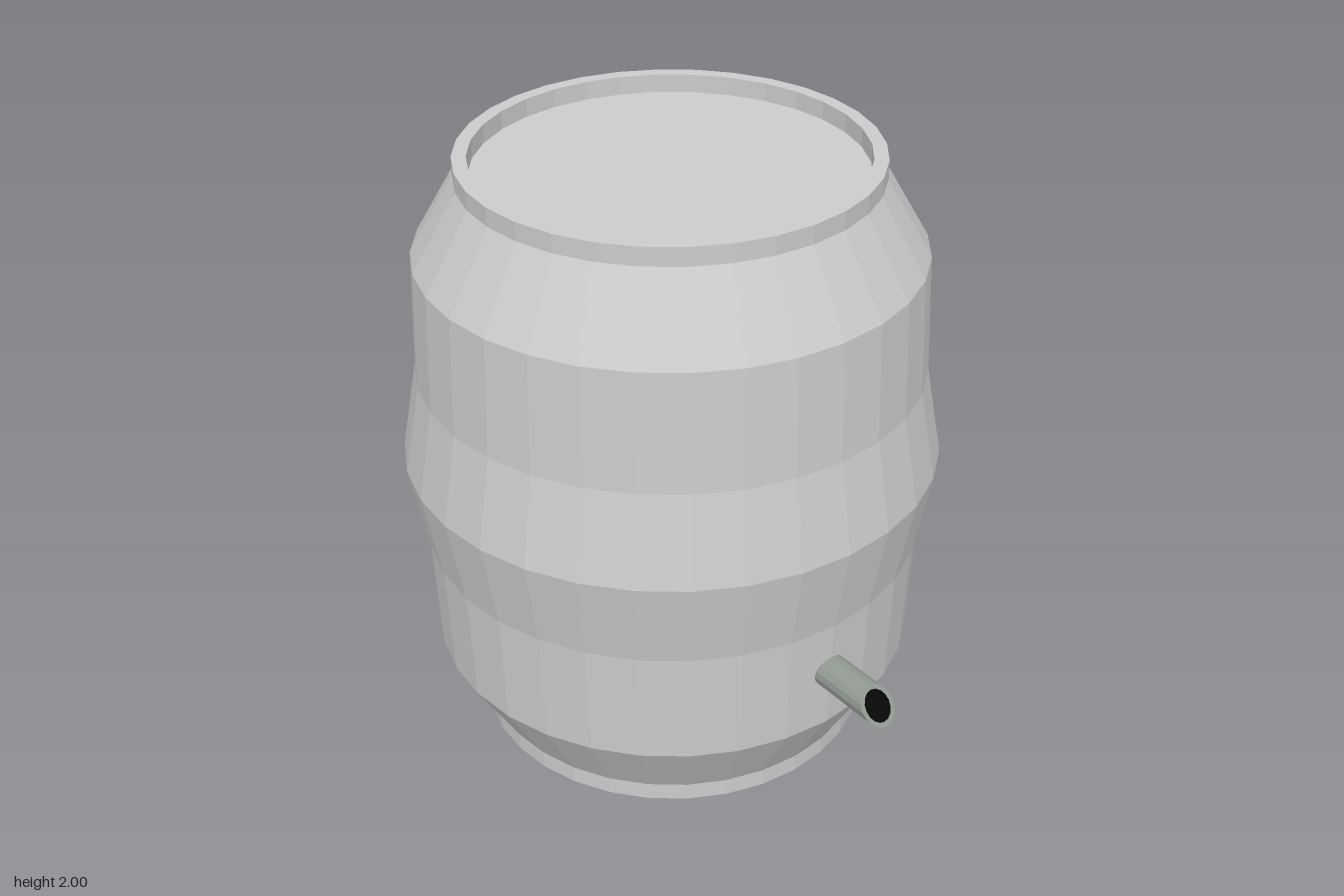
import * as THREE from 'three';

const pts = (list) => list.map(([r, y]) => new THREE.Vector2(r, y));

// Lay a lathe along +x, squash it slightly and shear its free end to a slanted cut
function spoutGeometry(profile) {
  const geo = new THREE.LatheGeometry(pts(profile), 16);
  geo.rotateZ(-Math.PI / 2);
  geo.scale(1, 0.88, 1);
  const p = geo.attributes.position;
  for (let i = 0; i < p.count; i++) {
    if (p.getX(i) > 0.8) p.setX(i, p.getX(i) - p.getY(i) * 0.85);
  }
  geo.computeVertexNormals();
  return geo;
}

export function createModel() {
  const group = new THREE.Group();
  const add = (name, geo, mat) => {
    const mesh = new THREE.Mesh(geo, mat);
    mesh.name = name;
    group.add(mesh);
    return mesh;
  };

  // Barrel: bulging faceted body with raised rims around recessed lids
  const lower = [
    [0, 0.06], [0.61, 0.06], [0.61, 0], [0.655, 0], [0.655, 0.06],
    [0.8, 0.31], [0.815, 0.7],
  ];
  const upper = lower.map(([r, y]) => [r, 2 - y]).reverse();
  const body = add(
    'barrel',
    new THREE.LatheGeometry(pts([...lower, [0.87, 1], ...upper]), 32),
    new THREE.MeshStandardMaterial({ color: 0xcccccc, flatShading: true }),
  );
  body.position.x = -0.105;

  // Spout: short pipe with a slanted mouth
  const spout = add(
    'spout',
    spoutGeometry([[0.06, 0.6], [0.06, 0.92], [0.046, 0.92]]),
    new THREE.MeshStandardMaterial({ color: 0x919a91, flatShading: true }),
  );
  spout.position.y = 0.523;

  // Dark bore inside the spout
  const bore = add(
    'spoutBore',
    spoutGeometry([[0.046, 0.92], [0.046, 0.84], [0, 0.84]]),
    new THREE.MeshStandardMaterial({ color: 0x080808 }),
  );
  bore.position.y = 0.523;

  return group;
}
